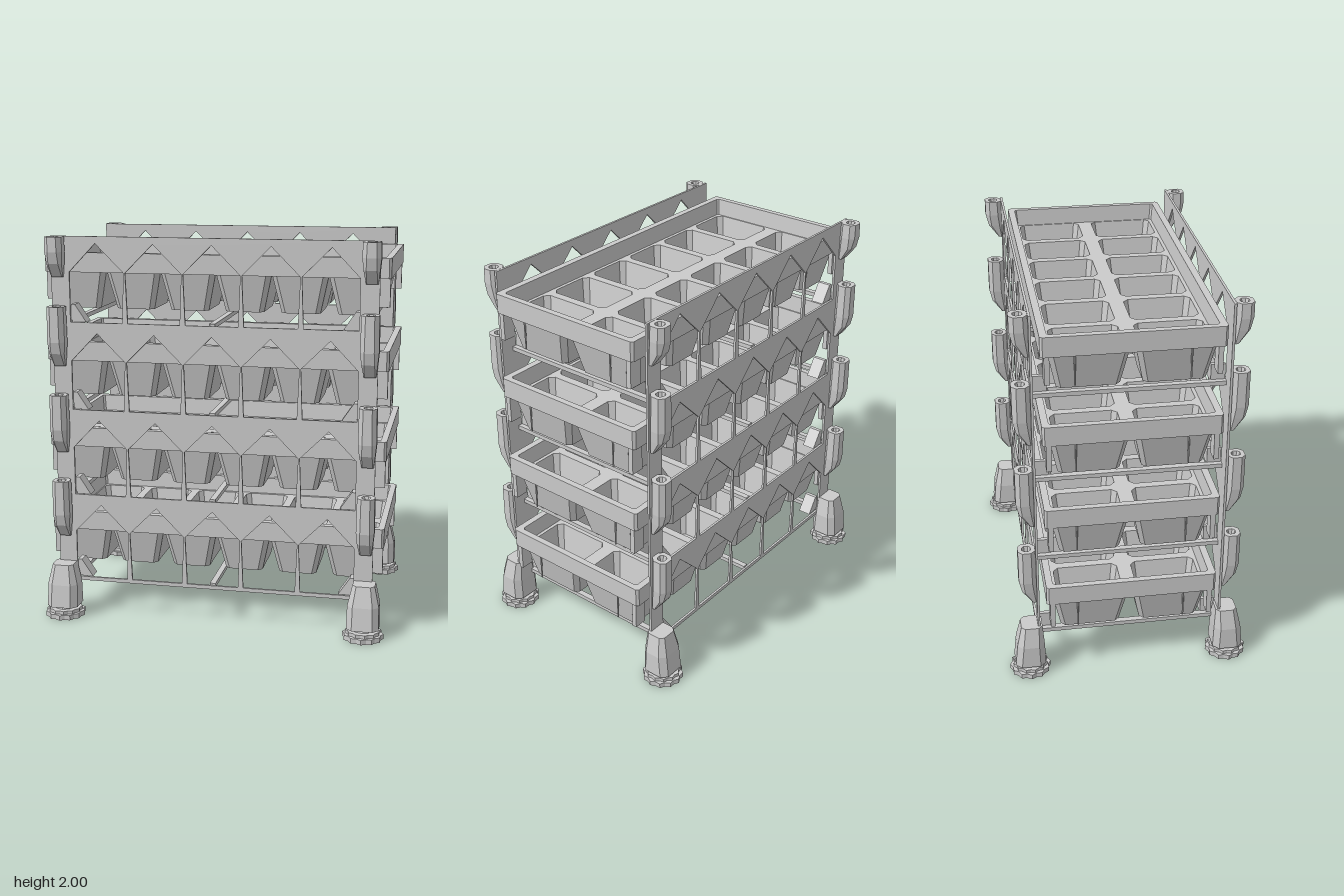
import * as THREE from 'three';

const mat = new THREE.MeshStandardMaterial({ color: 0xcccccc, flatShading: true, side: THREE.DoubleSide });
const TIERS = 4, PITCH = 0.455;

function add(parent, name, geometry, x = 0, y = 0, z = 0) {
  const mesh = new THREE.Mesh(geometry, mat);
  mesh.name = name;
  mesh.position.set(x, y, z);
  parent.add(mesh);
  return mesh;
}

// Corners of a chamfered rectangle, counter-clockwise in its plane
function corners(cx, cz, hx, hz, c) {
  return [[hx, -hz + c], [hx, hz - c], [hx - c, hz], [-hx + c, hz],
    [-hx, hz - c], [-hx, -hz + c], [-hx + c, -hz], [hx - c, -hz]].map(([x, z]) => [cx + x, cz + z]);
}

// Skin through rings [y, cx, cz, hx, hz, chamfer]; order runs up the outside, then down the inside
function loft(rings, capStart = true, capEnd = true) {
  const n = 8, pos = [], idx = [];
  for (const [y, ...r] of rings) for (const [x, z] of corners(...r)) pos.push(x, y, z);
  for (let k = 0; k + 1 < rings.length; k++) {
    for (let i = 0; i < n; i++) {
      const a = k * n + i, b = k * n + (i + 1) % n;
      idx.push(a, a + n, b, b, a + n, b + n);
    }
  }
  const e = (rings.length - 1) * n;
  for (let i = 1; i < n - 1; i++) {
    if (capStart) idx.push(0, i, i + 1);
    if (capEnd) idx.push(e, e + i + 1, e + i);
  }
  const g = new THREE.BufferGeometry();
  g.setAttribute('position', new THREE.Float32BufferAttribute(pos, 3));
  g.setIndex(idx);
  const flat = g.toNonIndexed();
  flat.computeVertexNormals();
  return flat;
}

const polygon = (pts) => pts.map(([x, y]) => new THREE.Vector2(x, y));
const extrude = (shape, depth) => new THREE.ExtrudeGeometry(shape, { depth, bevelEnabled: false });

// Six by two cell centres
const cells = [];
for (let i = 0; i < 6; i++) for (const s of [-1, 1]) cells.push([(i - 2.5) * 0.285, s * 0.203]);

// Tray geometries, with y = 0 at the underside of the rim
const rimGeo = loft([
  [0, 0, 0, 0.88, 0.43, 0.012], [0.1, 0, 0, 0.88, 0.43, 0.012],
  [0.1, 0, 0, 0.848, 0.395, 0.01], [0.012, 0, 0, 0.84, 0.387, 0.01],
], false, false);
const deckShape = new THREE.Shape(polygon(corners(0, 0, 0.88, 0.43, 0.012)));
for (const [x, z] of cells) deckShape.holes.push(new THREE.Path(polygon(corners(x, z, 0.121, 0.166, 0.025))));
const deckGeo = extrude(deckShape, 0.012).rotateX(-Math.PI / 2);
const potGeo = loft([
  [-0.19, 0, 0, 0.098, 0.15, 0.022], [0, 0, 0, 0.141, 0.19, 0.025],
  [0.01, 0, 0, 0.121, 0.166, 0.025], [-0.17, 0, 0, 0.096, 0.143, 0.02],
]);
const ribGeo = new THREE.CylinderGeometry(0.005, 0.004, 0.16, 6);
const clipGeo = new THREE.BoxGeometry(0.07, 0.14, 0.025);

function makeTray() {
  const tray = new THREE.Group();
  tray.name = 'tray';
  add(tray, 'trayRim', rimGeo);
  add(tray, 'trayDeck', deckGeo);
  for (const [x, z] of cells) add(tray, 'pot', potGeo, x, 0, z);
  for (const sx of [-1, 1]) for (const sz of [-1, 1]) {
    add(tray, 'endRib', ribGeo, sx * 0.85, -0.08, sz * 0.27);
    add(tray, 'cornerClip', clipGeo, sx * 0.84, -0.07, sz * 0.4);
  }
  return tray;
}

// Thin side frame with gabled openings on tapering struts
function makePanel() {
  const shape = new THREE.Shape(polygon([[-0.83, 0.18], [0.83, 0.18], [0.83, 2], [-0.83, 2]]));
  for (let t = 0; t < TIERS; t++) {
    const y = 0.2 + t * PITCH;
    for (let i = -2; i <= 2; i++) {
      const c = i * 0.298, h = 0.149;
      const l = i === -2 ? [-0.735, -0.735] : [c - h + 0.014, c - h + 0.004];
      const r = i === 2 ? [0.735, 0.735] : [c + h - 0.014, c + h - 0.004];
      shape.holes.push(new THREE.Path(polygon([
        [l[0], y], [r[0], y], [r[1], y + 0.255], [c, y + 0.4], [l[1], y + 0.255]])));
    }
  }
  return extrude(shape, 0.012).translate(0, 0, -0.006);
}

// Faceted hook on the outside of a post, tapering in at its foot
const hook = (top) => loft([
  [0, 0, 0.012, 0.03, 0.01, 0.004], [0.07, 0, 0.038, 0.04, 0.036, 0.014],
  [0.13, 0, 0.045, 0.046, 0.044, 0.022], [top, 0, 0.046, 0.044, 0.043, 0.022],
  [top, 0, 0.046, 0.022, 0.022, 0.012], [top - 0.04, 0, 0.046, 0.014, 0.014, 0.008],
]);

// Leg block and scalloped foot pad
const legGeo = loft([
  [0.06, 0, 0, 0.082, 0.078, 0.03], [0.18, 0, -0.004, 0.08, 0.07, 0.03],
  [0.285, 0, -0.012, 0.056, 0.054, 0.02],
]);
function padGeo(radius, depth) {
  const pts = [];
  for (let i = 0; i < 24; i++) {
    const a = i / 24 * Math.PI * 2, r = radius * (i % 2 ? 0.9 : 1);
    pts.push([Math.cos(a) * r, Math.sin(a) * r]);
  }
  return extrude(new THREE.Shape(polygon(pts)), depth).rotateX(-Math.PI / 2);
}

// Triangular brace in a frame corner
const braceGeo = extrude(new THREE.Shape(polygon([[0, 0], [0.08, 0], [0.02, 0.09], [0, 0.09]])), 0.07);

export function createModel() {
  const model = new THREE.Group();
  model.name = 'plantRack';

  const panelGeo = makePanel();
  for (const s of [-1, 1]) add(model, s > 0 ? 'frontFrame' : 'backFrame', panelGeo, 0, 0, s * 0.468);

  // Trays and the cross bars below them
  for (let t = 0; t < TIERS; t++) {
    const tray = makeTray();
    tray.position.y = 0.45 + t * PITCH;
    model.add(tray);
    for (const x of [-0.745, 0, 0.745]) {
      add(model, 'crossBar', new THREE.BoxGeometry(0.03, 0.022, 0.93), x, 0.2 + t * PITCH, 0);
    }
  }

  // Four corners: hooks, braces, leg and foot
  const hookGeo = hook(0.31), topHookGeo = hook(0.205);
  const lower = padGeo(0.105, 0.026), upper = padGeo(0.09, 0.022);
  for (const sx of [-1, 1]) for (const sz of [-1, 1]) {
    const corner = new THREE.Group();
    corner.name = 'cornerPost';
    corner.position.set(sx * 0.793, 0, sz * 0.517);
    corner.rotation.y = sz > 0 ? 0 : Math.PI;
    model.add(corner);
    for (let t = 0; t < TIERS; t++) {
      add(corner, 'hook', t === TIERS - 1 ? topHookGeo : hookGeo, 0, 0.43 + t * PITCH, -0.045);
      const brace = add(model, 'brace', braceGeo, sx * 0.735, 0.2 + t * PITCH, sz * 0.425);
      brace.rotation.y = sx > 0 ? Math.PI : 0;
      brace.position.z += sx * 0.035;
    }
    add(corner, 'leg', legGeo);
    add(corner, 'footPad', lower);
    add(corner, 'footPadTop', upper, 0, 0.022, 0).rotation.y = 0.2;
    add(corner, 'footNeck', new THREE.CylinderGeometry(0.05, 0.06, 0.03, 10), 0, 0.052, 0);
  }
  return model;
}
